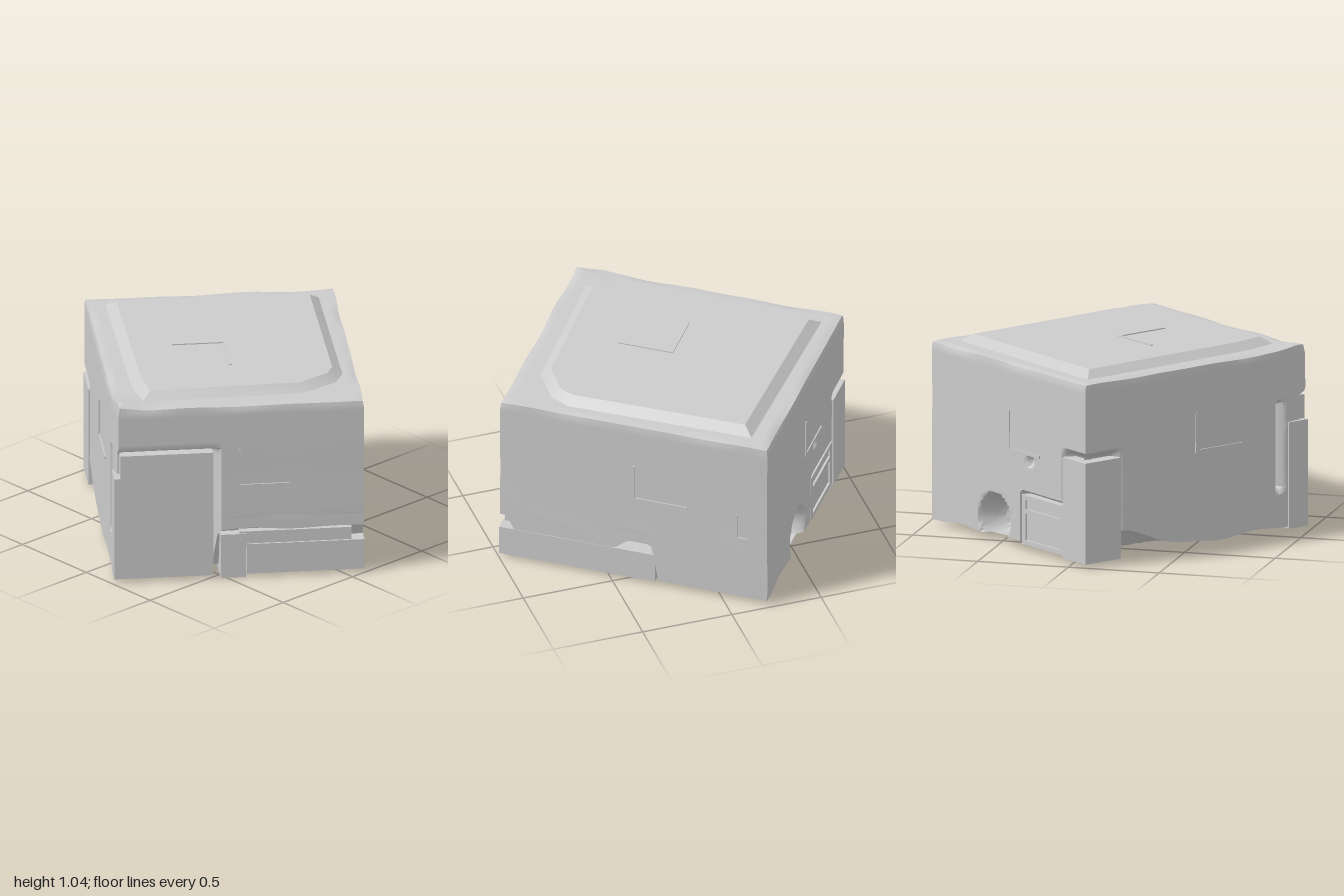
import * as THREE from 'three';
import { mergeVertices, toCreasedNormals } from 'three/addons/utils/BufferGeometryUtils.js';

const W = 0.666, D = 0.746; // half width and half depth of the rock cube
const grey = new THREE.MeshStandardMaterial({ color: 0xcccccc });
const ramp = (a, b, v) => THREE.MathUtils.smoothstep(v, a, b);
// 1 inside [a, b], falling to 0 over the distance f outside it
const band = (a, b, v, f = 0.03) => ramp(a - f, a, v) * (1 - ramp(b, b + f, v));
const noise = (a, b, c) =>
  (Math.sin(a * 13 + b * 7 + 1.3) + Math.sin(b * 17 - c * 11) + Math.sin(c * 15 + a * 9 + 2.1)) / 3;

// Box given by its limits on each axis
function block(parent, name, x0, x1, y0, y1, z0, z1) {
  const mesh = new THREE.Mesh(new THREE.BoxGeometry(x1 - x0, y1 - y0, z1 - z0), grey);
  mesh.position.set((x0 + x1) / 2, (y0 + y1) / 2, (z0 + z1) / 2);
  mesh.name = name;
  parent.add(mesh);
}

// Thin raised corner mark lying in the xy plane
function cornerMark(parent, name, side, up, position, rotation, t = 0.016) {
  const mark = new THREE.Group();
  mark.name = name;
  block(mark, 'sideBar', -t / 2, side, -t / 2, t / 2, -0.02, 0.005);
  block(mark, 'upBar', -t / 2, t / 2, -t / 2, up, -0.02, 0.005);
  mark.position.set(...position);
  mark.rotation.set(...rotation);
  parent.add(mark);
}

// Rock cube with undercuts, recesses and a worn rim
function rockGeometry() {
  let g = new THREE.BoxGeometry(2 * W, 0.97, 2 * D, 70, 52, 76);
  g.translate(0, 0.51, 0);
  g.deleteAttribute('uv');
  g.deleteAttribute('normal');
  g = mergeVertices(g);
  const p = g.attributes.position;
  for (let i = 0; i < p.count; i++) {
    const x = p.getX(i), y = p.getY(i), z = p.getZ(i);
    const n = noise(x, y, z);
    const right = ramp(W - 0.04, W, x), left = ramp(W - 0.04, W, -x);
    const front = ramp(D - 0.04, D, z), back = ramp(D - 0.04, D, -z);
    const low = 1 - ramp(0.28, 0.32, y);

    // worn top rim, a little higher at the left front corner
    const rim = ramp(0.96, 0.995, y);
    let dx = -Math.sign(x) * (left + right) * rim * (0.006 + 0.004 * n);
    let dz = -Math.sign(z) * (front + back) * rim * (0.006 + 0.004 * n);
    let dy = -rim * Math.max(left, right, front, back) * (0.006 + 0.007 * n);
    dy += rim * 0.018 * ramp(0.45, W, -x) * ramp(0.5, D, z);

    // recess behind the front pillar, and the slot on its left side
    const tall = 1 - ramp(0.72, 0.76, y);
    dz -= front * tall * (1 - ramp(-0.13, -0.1, x)) * 0.07;
    dx += left * band(0.25, 0.7, y) * band(0.555, 0.575, z, 0.02) * 0.06;
    dx += left * ramp(0.58, 0.7, z) * 0.018;

    // recesses for the back pillar and the rear panel
    const nook = 1 - ramp(0.57, 0.62, y);
    dx += left * nook * (1 - ramp(-0.54, -0.5, z)) * 0.07;
    dz += back * nook * (1 - ramp(-0.5, -0.46, x)) * 0.07;
    dz += back * low * band(-0.46, -0.12, x, 0.02) * 0.09;

    // cave and small pit in the back face
    const cave = Math.hypot((x - 0.125) / 0.135, (y - 0.12) / 0.145);
    dz += back * (1 - ramp(0.55, 1.05, cave)) * 0.16;
    dz += back * (1 - ramp(0.01, 0.04, Math.hypot(x + 0.18, y - 0.49))) * 0.03;

    // ragged underside: raised over the plinth and beside the back pillar
    const overPlinth = ramp(-0.14, -0.1, z) * ramp(0.0, 0.04, x);
    const overFront = ramp(0.62, 0.71, z) * ramp(-0.16, -0.1, x);
    let lift = overPlinth * (0.165 + 0.06 * band(-0.07, 0.02, z, 0.1) * ramp(0.4, 0.6, x));
    lift = Math.max(lift, overFront * (0.255 + 0.015 * n));
    lift = Math.max(lift, ramp(0.45, W, -x) * (0.13 * (1 - ramp(-0.5, -0.05, z)) + 0.015 * (1 + n)));
    lift = Math.max(lift, 0.012 * (1 + n) * (1 - ramp(0.4, 0.6, x)));
    dy += lift * (1 - ramp(0.03, 0.4, y));

    // slight waviness of the walls
    dx -= (left + right) * Math.sign(x) * 0.0015 * (1 + n);
    dz -= (front + back) * Math.sign(z) * 0.0015 * (1 + n);
    p.setXYZ(i, x + dx, y + dy, z + dz);
  }
  return toCreasedNormals(g, 0.7);
}

// Low raised slab with sloping sides and a worn front corner
function capGeometry() {
  const outline = new THREE.Shape([
    [-0.51, 0.6], [0.52, 0.575], [0.535, -0.38], [0.5, -0.46], [0.34, -0.565], [-0.46, -0.585], [-0.49, -0.4],
  ].map(([x, y]) => new THREE.Vector2(x, y)));
  const g = new THREE.ExtrudeGeometry(outline, {
    depth: 0.01, bevelThickness: 0.045, bevelSize: 0.06, bevelSegments: 1,
  });
  g.rotateX(-Math.PI / 2);
  return toCreasedNormals(g, 0.4);
}

export function createModel() {
  const model = new THREE.Group();
  model.name = 'rockCube';
  const cube = new THREE.Group();
  cube.name = 'turnedCube';
  cube.rotation.y = -0.636;
  cube.position.set(-0.002, 0, -0.002);
  model.add(cube);

  const rock = new THREE.Mesh(rockGeometry(), grey);
  rock.name = 'rockBody';
  const cap = new THREE.Mesh(capGeometry(), grey);
  cap.name = 'topSlab';
  cap.position.y = 0.98;
  cube.add(rock, cap);

  // plinth under the front corner, with the ledge and foot beside it
  block(cube, 'plinth', 0.04, 0.668, 0.02, 0.19, -0.12, 0.748);
  block(cube, 'frontLedge', 0.0, 0.6, 0.17, 0.26, 0.3, 0.738);
  block(cube, 'foot', -0.1, 0.035, 0, 0.25, 0.53, 0.746);

  // corner pillars
  block(cube, 'frontPillar', -0.668, -0.14, 0.02, 0.6, 0.62, 0.748);
  block(cube, 'frontPillarTop', -0.635, -0.14, 0.6, 0.73, 0.62, 0.748);
  block(cube, 'backPillar', -0.67, -0.47, 0.02, 0.57, -0.75, -0.51);

  // framed panel next to the back pillar
  const panel = new THREE.Group();
  panel.name = 'rearPanel';
  cube.add(panel);
  block(panel, 'panelBack', -0.47, -0.11, 0.03, 0.3, -0.73, -0.6);
  for (const y of [0.03, 0.2, 0.275]) block(panel, 'panelRail', -0.47, -0.11, y, y + 0.025, -0.742, -0.72);
  for (const x of [-0.47, -0.14]) block(panel, 'panelPost', x, x + 0.03, 0.03, 0.3, -0.742, -0.72);

  // corner marks on the four walls and the top
  const q = Math.PI / 2, y = 0.53;
  cornerMark(cube, 'frontMark', 0.27, 0.21, [0, y, D], [0, 0, 0]);
  cornerMark(cube, 'rightMark', 0.3, 0.21, [W, y, 0], [0, q, 0]);
  cornerMark(cube, 'backMark', 0.27, 0.21, [0, y, -D], [0, 2 * q, 0]);
  cornerMark(cube, 'leftMark', 0.3, 0.21, [-W, y, 0], [0, -q, 0]);
  cornerMark(cube, 'smallMark', 0.065, 0.15, [W, 0.4, -0.575], [0, q, 0], 0.008);
  cornerMark(cube, 'topMark', 0.28, 0.3, [0, 1.036, 0], [-q, 0, 2 * q]);
  return model;
}
